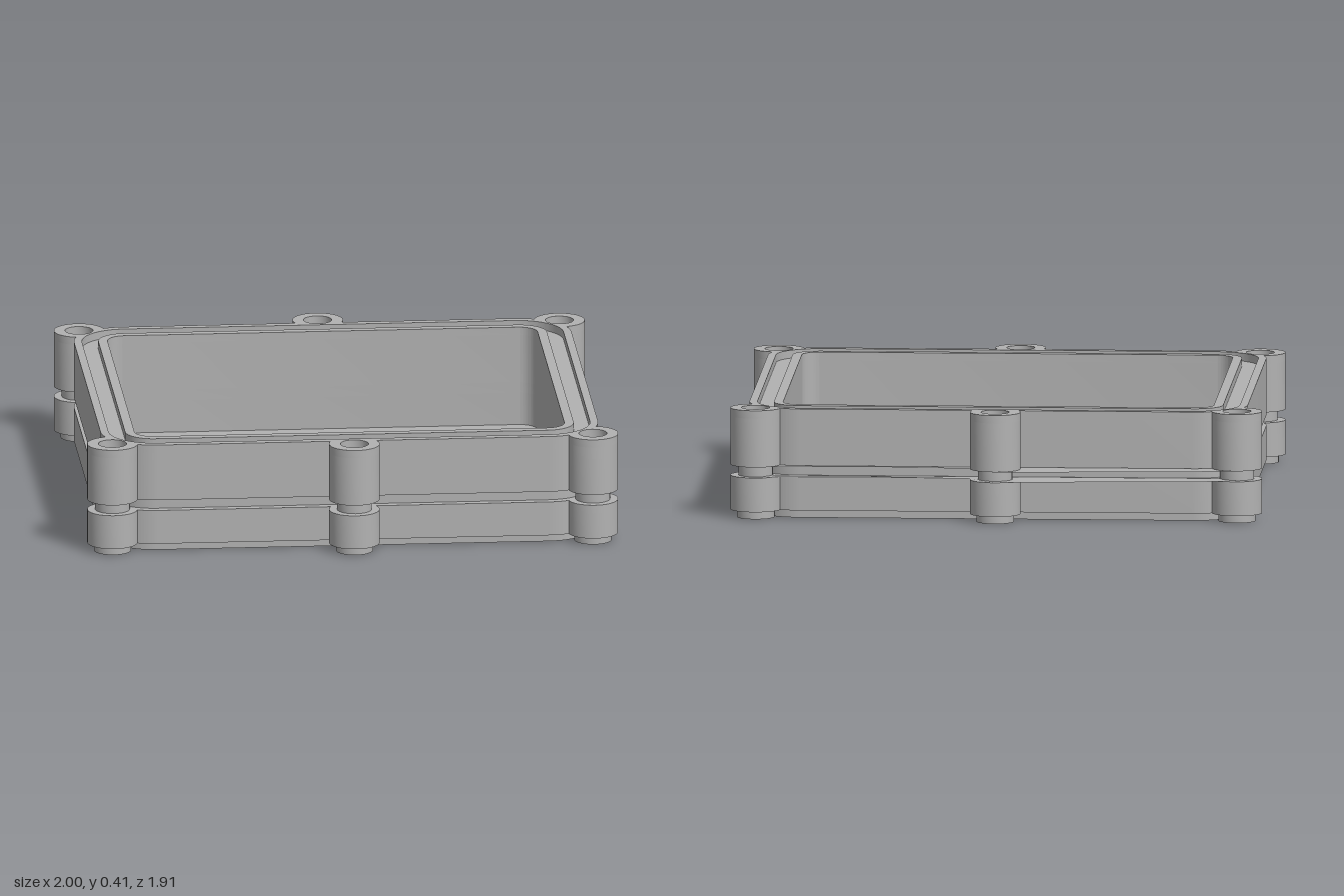
import * as THREE from 'three';
import { toCreasedNormals } from 'three/addons/utils/BufferGeometryUtils.js';

const BODY = { x: 0.937, z: 0.82, r: 0.2 };
const LUG_R = 0.095, BORE_R = 0.053;
const CORNER = { x: 0.905, z: 0.785 }, MID_Z = 0.86;
const SLOT = { x: 0.415, z: 0.54, half: 0.172 };

// Rounded rectangle centred on the origin
function roundRect(hx, hy, r, P = THREE.Path) {
  const p = new P();
  p.absarc(hx - r, hy - r, r, 0, Math.PI / 2);
  p.absarc(r - hx, hy - r, r, Math.PI / 2, Math.PI);
  p.absarc(r - hx, r - hy, r, Math.PI, 1.5 * Math.PI);
  p.absarc(hx - r, r - hy, r, 1.5 * Math.PI, 2 * Math.PI);
  p.closePath();
  return p;
}

// Slot with round ends; shape y is minus world z
function slot(cx, r, P = THREE.Path) {
  const p = new P();
  p.absarc(cx + SLOT.half, -SLOT.z, r, -Math.PI / 2, Math.PI / 2);
  p.absarc(cx - SLOT.half, -SLOT.z, r, Math.PI / 2, 1.5 * Math.PI);
  p.closePath();
  return p;
}

function circle(x, y, r, P = THREE.Path) {
  const p = new P();
  p.absarc(x, y, r, 0, 2 * Math.PI);
  return p;
}

const lugCentres = [];
for (const sz of [-1, 1]) {
  for (const sx of [-1, 1]) lugCentres.push([sx * CORNER.x, sz * CORNER.z]);
  lugCentres.push([0, sz * MID_Z]);
}
const bores = () => lugCentres.map(([x, y]) => circle(x, y, BORE_R));

// Body outline merged with its six screw lugs
function luggedOutline() {
  const s = new THREE.Shape();
  const ax = BODY.x - BODY.r, ay = BODY.z - BODY.r;
  const dx = CORNER.x - ax, dy = CORNER.z - ay, D = Math.hypot(dx, dy);
  const R = BODY.r, r = LUG_R;
  const alpha = Math.acos((R * R + D * D - r * r) / (2 * R * D));
  const beta = Math.acos((r * r + D * D - R * R) / (2 * r * D));
  const dip = Math.asin((MID_Z - BODY.z) / r);
  // Each corner: body arc, lug arc, body arc
  const corner = (sx, sy, turn) => {
    const mid = Math.atan2(sy * dy, sx * dx);
    s.absarc(sx * ax, sy * ay, R, turn, mid - alpha);
    s.absarc(sx * CORNER.x, sy * CORNER.z, r, mid - Math.PI + beta, mid + Math.PI - beta);
    s.absarc(sx * ax, sy * ay, R, mid + alpha, turn + Math.PI / 2);
  };
  corner(1, 1, 0);
  s.absarc(0, MID_Z, r, -dip, Math.PI + dip);
  corner(-1, 1, Math.PI / 2);
  corner(-1, -1, -Math.PI);
  s.absarc(0, -MID_Z, r, Math.PI - dip, 2 * Math.PI + dip);
  corner(1, -1, -Math.PI / 2);
  s.closePath();
  return s;
}

export function createModel() {
  const group = new THREE.Group();
  const grey = new THREE.MeshStandardMaterial({ color: 0xb2b2b2 });
  grey.name = 'grey';
  grey.side = THREE.DoubleSide;

  // Extrude a plan shape upward between two heights
  function slab(name, shape, holes, y0, y1) {
    shape.holes.push(...holes);
    let g = new THREE.ExtrudeGeometry(shape, { depth: y1 - y0, bevelEnabled: false, curveSegments: 14 });
    g.rotateX(-Math.PI / 2);
    g.translate(0, y0, 0);
    g = toCreasedNormals(g, 0.6);
    const m = new THREE.Mesh(g, grey);
    m.name = name;
    group.add(m);
  }

  const cavity = () => roundRect(0.81, 0.698, 0.07);
  const slots = (r) => [-1, 1].map((s) => slot(s * SLOT.x, r));

  // Base plate with the two slots
  slab('basePlate', roundRect(0.912, 0.795, 0.175, THREE.Shape), slots(0.083), 0, 0.035);
  // Lower and upper shells
  slab('lowerShell', luggedOutline(), [cavity(), ...bores()], 0.03, 0.16);
  slab('upperShell', luggedOutline(), [cavity(), ...bores()], 0.2, 0.385);
  // Recessed joint between the shells
  slab('joint', roundRect(0.907, 0.79, 0.17, THREE.Shape), [cavity()], 0.16, 0.2);
  // Rim, seal groove and inner lip
  slab('rim', luggedOutline(), [roundRect(0.907, 0.79, 0.17), ...bores()], 0.385, 0.415);
  slab('lip', roundRect(0.845, 0.732, 0.105, THREE.Shape), [cavity()], 0.385, 0.415);

  // Lug feet and necks
  for (const [x, y] of lugCentres) {
    slab('lugFoot', circle(x, y, 0.07, THREE.Shape), [], 0, 0.032);
    slab('lugNeck', circle(x, y, 0.065, THREE.Shape), [circle(x, y, BORE_R)], 0.16, 0.2);
  }

  // Raised collars round the slots
  for (const s of [-1, 1]) {
    slab('slotCollar', slot(s * SLOT.x, 0.133, THREE.Shape), [slot(s * SLOT.x, 0.11)], 0.034, 0.135);
  }

  // Thin flanges along the back on both sides of the joint
  const edge = [[-0.905, 0.88], [0, 0.955], [0.09, 0.86], [0.4, 0.835], [0.9, 0.85], [0.9, 0.8], [-0.905, 0.8]];
  for (const y of [0.161, 0.199]) {
    const g = new THREE.ShapeGeometry(new THREE.Shape(edge.map(([a, b]) => new THREE.Vector2(a, b))));
    g.rotateX(-Math.PI / 2);
    g.translate(0, y, 0);
    const m = new THREE.Mesh(g, grey);
    m.name = 'backFlange';
    group.add(m);
  }
  return group;
}
